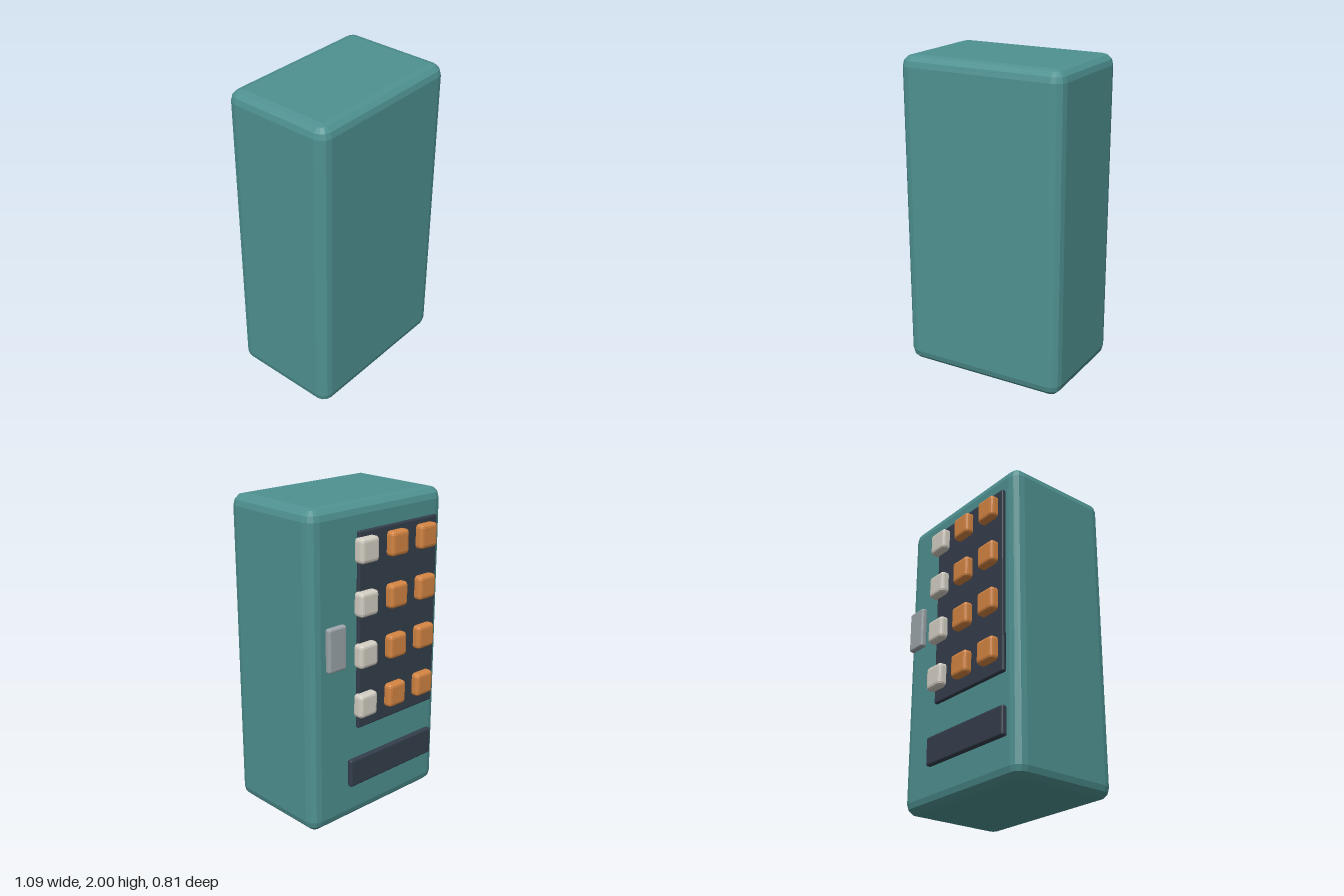
import * as THREE from 'three';
import { ConvexGeometry } from 'three/addons/geometries/ConvexGeometry.js';

const mat = (name, color) => Object.assign(new THREE.MeshStandardMaterial({ color }), { name });

// Box with edges bevelled in a few flat steps: hull of eight sphere octants
function bevelBox(w, h, d, r, steps = 3) {
  const points = [];
  for (const sx of [-1, 1]) for (const sy of [-1, 1]) for (const sz of [-1, 1]) {
    for (let i = 0; i <= steps; i++) {
      const lat = (i / steps) * Math.PI / 2;
      const n = i === steps ? 0 : steps;
      for (let j = 0; j <= n; j++) {
        const lon = (j / steps) * Math.PI / 2;
        points.push(new THREE.Vector3(
          sx * (w / 2 - r + r * Math.cos(lat) * Math.cos(lon)),
          sy * (h / 2 - r + r * Math.sin(lat)),
          sz * (d / 2 - r + r * Math.cos(lat) * Math.sin(lon))));
      }
    }
  }
  return new ConvexGeometry(points);
}

export function createModel() {
  const group = new THREE.Group();
  const teal = mat('teal', 0x4f9191);
  const slate = mat('darkSlate', 0x343e4c);
  const orange = mat('orange', 0xd38442);
  const cream = mat('cream', 0xd3cec3);
  const grey = mat('grey', 0x9ca5aa);

  const add = (name, geometry, material, x, y, z) => {
    const mesh = new THREE.Mesh(geometry, material);
    mesh.name = name;
    mesh.position.set(x, y, z);
    group.add(mesh);
  };

  // Cabinet
  add('cabinet', bevelBox(1.085, 2, 0.726, 0.07), teal, 0, 1, 0.041);

  // Display panel and delivery tray on the back face
  add('displayPanel', bevelBox(0.655, 1.22, 0.028, 0.01), slate, -0.127, 1.232, -0.34);
  add('deliveryTray', bevelBox(0.716, 0.18, 0.038, 0.012), slate, -0.097, 0.331, -0.34);

  // Grid of buttons: two orange columns and one cream
  const button = bevelBox(0.145, 0.15, 0.075, 0.023);
  for (let row = 0; row < 4; row++) {
    for (let col = 0; col < 3; col++) {
      add(`button${row + 1}_${col + 1}`, button, col < 2 ? orange : cream,
        -0.338 + col * 0.246, 0.778 + row * 0.3185, -0.3665);
    }
  }

  // Coin plate beside the panel
  add('coinPlate', bevelBox(0.137, 0.27, 0.042, 0.014), grey, 0.389, 1.188, -0.36);

  return group;
}
